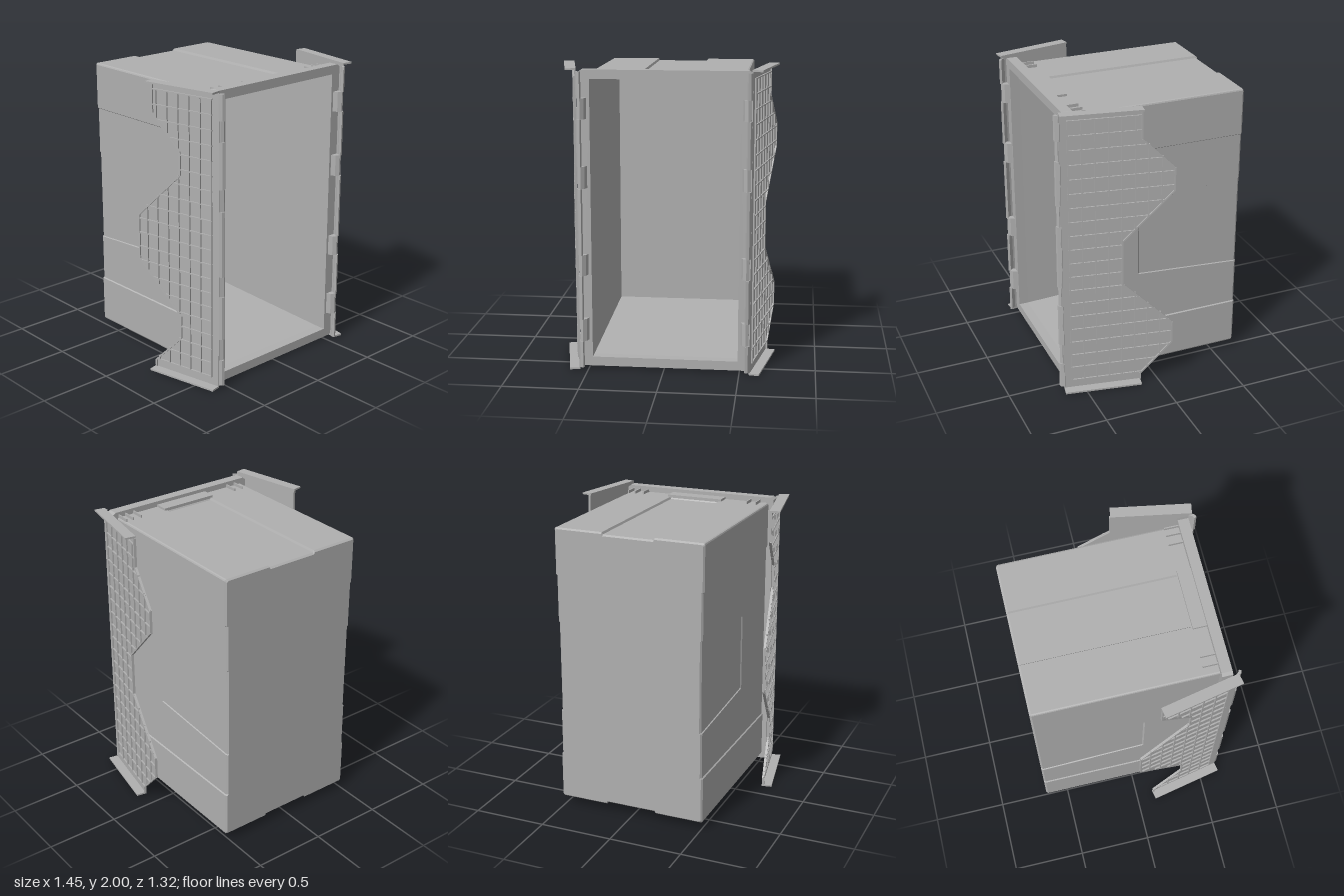
import * as THREE from 'three';

const grey = new THREE.MeshStandardMaterial({ color: 0xb0b0b0 });
grey.name = 'grey plastic';

function add(parent, geometry, name) {
  const mesh = new THREE.Mesh(geometry, grey);
  mesh.name = name;
  parent.add(mesh);
  return mesh;
}

function box(parent, name, w, h, d, x, y, z) {
  const mesh = add(parent, new THREE.BoxGeometry(w, h, d), name);
  mesh.position.set(x, y, z);
  return mesh;
}

// Skin between rings of [x, y, z] points, capped on the last or first ring
function loft(rings, capRing, capFlip) {
  const pos = [];
  const n = rings[0].length;
  for (let i = 0; i < rings.length - 1; i++) {
    for (let j = 0; j < n; j++) {
      const k = (j + 1) % n;
      const a = rings[i][j], b = rings[i][k], c = rings[i + 1][j], d = rings[i + 1][k];
      pos.push(...a, ...c, ...b, ...b, ...c, ...d);
    }
  }
  const flat = capRing.map(p => new THREE.Vector2(p[0], p[1]));
  for (const [a, b, c] of THREE.ShapeUtils.triangulateShape(flat, [])) {
    const order = capFlip ? [a, c, b] : [a, b, c];
    order.forEach(q => pos.push(...capRing[q]));
  }
  const g = new THREE.BufferGeometry();
  g.setAttribute('position', new THREE.Float32BufferAttribute(pos, 3));
  g.computeVertexNormals();
  return g;
}

// Outer cross-section of the tub, with shallow stepped panels
function tubRing(z, band, panel, inset = 0) {
  const W = 0.517 - inset, lo = 0.052 + inset, hi = 1.952 - inset, r = 0.012;
  const m0 = 0.74 - (0.07 - z) * 0.07, m1 = 1.27 + (0.07 - z) * 0.07;
  const half = [
    [0.175, lo + band], [0.182, lo], [W - r, lo], [W - r * 0.3, lo + r * 0.3], [W, lo + r],
    [W, 0.37], [W - 0.008, 0.376], [W - 0.008, m0], [W - 0.008 - panel, m0 + 0.004],
    [W - 0.008 - panel, m1 - 0.004], [W - 0.008, m1], [W - 0.008, 1.634], [W, 1.64],
    [W, hi - r], [W - r * 0.3, hi - r * 0.3], [W - r, hi], [0.182, hi], [0.175, hi - band],
  ];
  const other = half.map(([x, y]) => [-x, y]).reverse();
  return [...half, ...other].map(([x, y]) => [x, y, z]);
}

function rectRing(w, lo, hi, z) {
  return [[w, lo, z], [w, hi, z], [-w, hi, z], [-w, lo, z]];
}

function makeTub() {
  const tub = new THREE.Group();
  tub.name = 'tub';
  tub.position.x = 0.008;
  // Outer shell
  const rings = [
    tubRing(0.54, 0, 0), tubRing(0.445, 0, 0), tubRing(0.435, 0.014, 0), tubRing(0.075, 0.014, 0),
    tubRing(0.065, 0.014, 0.007), tubRing(-0.648, 0.014, 0.007), tubRing(-0.66, 0.014, 0.007, 0.01),
  ];
  add(tub, loft(rings, rings[rings.length - 1], true), 'outerShell');
  // Tapered inside
  const floor = rectRing(0.475, 0.13, 1.875, -0.64);
  add(tub, loft([floor, rectRing(0.482, 0.08, 1.93, 0.535)], floor, false), 'innerWalls');
  // Rim around the opening
  const rim = new THREE.Shape([
    [-0.532, 0.018], [0.532, 0.018], [0.552, 0.03], [0.552, 1.975], [0.532, 1.99], [-0.532, 1.99],
    [-0.552, 1.975], [-0.552, 0.03],
  ].map(p => new THREE.Vector2(...p)));
  rim.holes.push(new THREE.Path([[-0.482, 0.08], [-0.482, 1.93], [0.482, 1.93], [0.482, 0.08]]
    .map(p => new THREE.Vector2(...p))));
  add(tub, new THREE.ExtrudeGeometry(rim, { depth: 0.07, bevelEnabled: false }), 'rim').position.z = 0.53;
  // Gussets and handle blocks behind the rim on both ends
  for (const y of [0.045, 1.957]) {
    for (const x of [-0.455, -0.39, 0.39, 0.455, 0.505]) box(tub, 'gusset', 0.008, 0.03, 0.1, x, y, 0.485);
    box(tub, 'handleBlock', 0.4, 0.02, 0.095, 0, y, 0.487);
  }
  return tub;
}

// Free edge of the wide lid: [height, reach from hinge]
const edge = [
  [0.012, 0.53], [0.06, 0.53], [0.28, 0.745], [0.437, 0.745], [0.77, 0.405],
  [1.08, 0.405], [1.41, 0.745], [1.57, 0.745], [1.785, 0.53], [1.988, 0.53],
];

function makeLid(side) {
  const lid = new THREE.Group();
  lid.name = side > 0 ? 'leftLid' : 'rightLid';
  const tilt = side > 0 ? 0.176 : 0.2;
  lid.position.set(side > 0 ? 0.562 : -0.552, 0, 0.632);
  lid.rotation.y = Math.PI / 2 - side * tilt;
  // The two free edges interlock
  const pts = side > 0 ? edge : edge.map(([y, s]) => [y, 1.05 - s]);
  const reach = y => {
    for (let i = 1; i < pts.length; i++) {
      const [y0, s0] = pts[i - 1], [y1, s1] = pts[i];
      if (y <= y1) return s0 + (s1 - s0) * (y - y0) / (y1 - y0);
    }
    return pts[pts.length - 1][1];
  };
  // Panel
  const shape = new THREE.Shape([[0, 0.012], ...pts.map(([y, s]) => [s, y]), [0, 1.988]]
    .map(p => new THREE.Vector2(...p)));
  const plate = new THREE.ExtrudeGeometry(shape, { depth: 0.007, bevelEnabled: false });
  add(lid, plate, 'lidPanel').position.z = side > 0 ? 0 : -0.007;
  const ribT = side * 0.0115, ribD = 0.011;
  // Cross ribs
  for (let i = 0; i < 20; i++) {
    const y = 0.07 + i * 0.0985, end = reach(y);
    box(lid, 'crossRib', end - 0.05, 0.008, ribD, (end + 0.05) / 2, y, ribT);
  }
  // Long ribs, cut where the panel ends
  for (let s = 0.055; s < 0.74; s += 0.086) {
    let start = null;
    for (let y = 0.07; y <= 1.95; y += 0.01) {
      const inside = reach(y) > s && y < 1.935;
      if (inside && start === null) start = y;
      if (!inside && start !== null) {
        box(lid, 'longRib', 0.008, y - start, ribD, s, (y + start) / 2, ribT);
        start = null;
      }
    }
  }
  // Lip following the free edge
  for (let i = 1; i < pts.length; i++) {
    const [y0, s0] = pts[i - 1], [y1, s1] = pts[i];
    const lip = box(lid, 'edgeLip', 0.01, Math.hypot(y1 - y0, s1 - s0), ribD,
      (s0 + s1) / 2 - 0.005, (y0 + y1) / 2, ribT);
    lip.rotation.z = -Math.atan2(s1 - s0, y1 - y0);
  }
  // End flanges
  for (const y of [0.006, 1.994]) box(lid, 'endFlange', 0.522, 0.012, 0.07, 0.263, y, side * 0.035);
  // Small catches on the inner face
  for (const y of [0.16, 0.58, 1.27, 1.7]) box(lid, 'catch', 0.045, 0.05, 0.018, 0.2, y, side * -0.009);
  return lid;
}

// Hinge strip with alternating knuckles
function makeHinge(side) {
  const hinge = new THREE.Group();
  hinge.name = side > 0 ? 'leftHinge' : 'rightHinge';
  hinge.position.x = 0.006;
  const strip = [[0.528, 0.64], [0.535, 0.655], [0.552, 0.65], [0.566, 0.628], [0.558, 0.61], [0.546, 0.63]];
  const knuckle = [[0.5, 0.598], [0.512, 0.63], [0.535, 0.648], [0.556, 0.636], [0.55, 0.598]];
  const segment = (profile, y0, y1, name) => {
    const s = new THREE.Shape(profile.map(([x, z]) => new THREE.Vector2(side * x, -z)));
    const g = new THREE.ExtrudeGeometry(s, { depth: y1 - y0, bevelEnabled: false });
    g.rotateX(-Math.PI / 2);
    add(hinge, g, name).position.y = y0;
  };
  const gaps = [[0.2, 0.35], [0.645, 0.785], [1.225, 1.37], [1.675, 1.81]];
  let from = 0.02;
  for (const [a, b] of gaps) {
    segment(strip, from, a, 'hingeStrip');
    segment(knuckle, a, b, 'hingeKnuckle');
    from = b;
  }
  segment(strip, from, 1.98, 'hingeStrip');
  return hinge;
}

export function createModel() {
  const model = new THREE.Group();
  model.name = 'lidded storage crate';
  model.add(makeTub());
  for (const side of [1, -1]) model.add(makeLid(side), makeHinge(side));
  return model;
}
